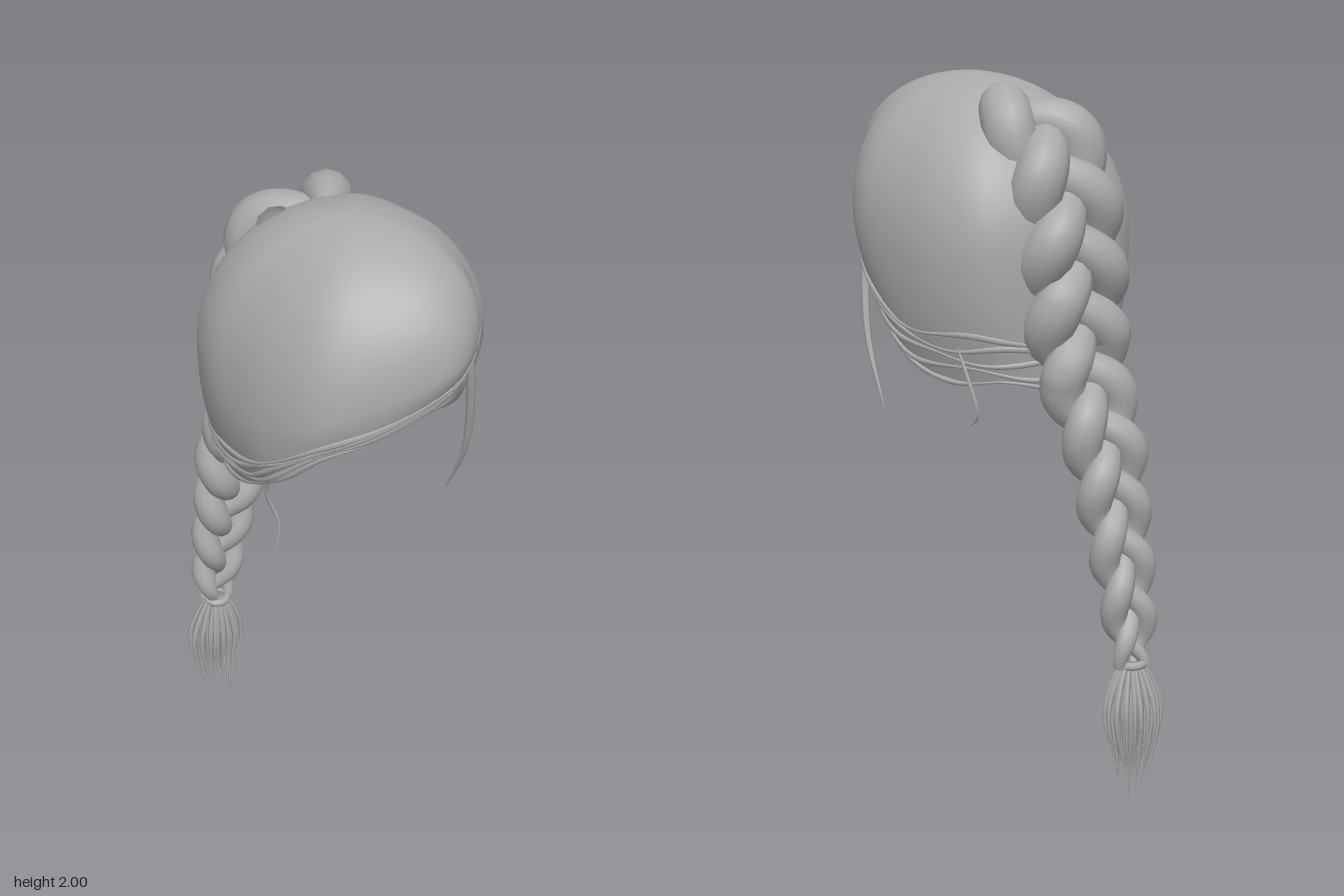
import * as THREE from 'three';
import { mergeVertices } from 'three/addons/utils/BufferGeometryUtils.js';

const V = (x, y, z) => new THREE.Vector3(x, y, z);
const lerp = THREE.MathUtils.lerp;

// Widest outline of the hair cap, from the front round by the left side
const widest = [
  [0, 1.69, .6], [.13, 1.74, .54], [.195, 1.78, .43], [.29, 1.65, .385],
  [.355, 1.6, .28], [.378, 1.55, .1], [.36, 1.55, -.07], [.29, 1.55, -.2],
  [.12, 1.55, -.28], [-.1, 1.55, -.28], [-.25, 1.55, -.2], [-.34, 1.55, -.05],
  [-.37, 1.5, .1], [-.375, 1.5, .25], [-.33, 1.55, .42], [-.2, 1.62, .53]];
// Lower edge at the same stations: fringe swept to the right, low nape
const hem = [
  [0, 1.6, .56], [.13, 1.64, .5], [.2, 1.69, .4], [.25, 1.48, .36],
  [.3, 1.33, .24], [.32, 1.22, .1], [.29, 1.18, -.06], [.22, 1.17, -.18],
  [.1, 1.16, -.26], [-.08, 1.16, -.26], [-.18, 1.17, -.19], [-.26, 1.2, -.05],
  [-.31, 1.24, .12], [-.35, 1.34, .28], [-.31, 1.44, .4], [-.2, 1.5, .5]];
const loop = pts => new THREE.CatmullRomCurve3(pts.map(p => V(...p)), true);
const widestCurve = loop(widest), hemCurve = loop(hem), crown = V(0, 2, .2);

// Point on the cap: u runs round the head, t from crown (0) over the widest line (.6) to the hem (1)
function capPoint(u, t) {
  const e = widestCurve.getPoint(u % 1), h = hemCurve.getPoint(u % 1);
  if (t < .6) {
    const a = t / .6 * Math.PI / 2, s = Math.sin(a);
    return V(lerp(crown.x, e.x, s), lerp(e.y, crown.y, Math.cos(a)), lerp(crown.z, e.z, s));
  }
  const s = (t - .6) / .4;
  return V(lerp(e.x, h.x, s * s), lerp(e.y, h.y, s), lerp(e.z, h.z, s * s));
}

function capGeometry(nu = 80, nt = 26) {
  const pos = [], idx = [];
  for (let i = 0; i <= nt; i++)
    for (let j = 0; j < nu; j++) pos.push(...capPoint(j / nu, i / nt).toArray());
  for (let i = 0; i < nt; i++)
    for (let j = 0; j < nu; j++) {
      const k = (j + 1) % nu, a = i * nu + j, b = a + nu, c = i * nu + k, d = c + nu;
      if (i > 0) idx.push(a, b, c);
      idx.push(c, b, d);
    }
  let g = new THREE.BufferGeometry();
  g.setAttribute('position', new THREE.Float32BufferAttribute(pos, 3));
  g.setIndex(idx);
  g = mergeVertices(g);
  g.computeVertexNormals();
  return g;
}

// Tube whose radius follows a rule of the position along it
function taperedTube(points, radius, segments, sides, closed = false) {
  const curve = new THREE.CatmullRomCurve3(points, closed);
  const g = new THREE.TubeGeometry(curve, segments, 1, sides, closed);
  const p = g.attributes.position, v = V(0, 0, 0);
  for (let i = 0; i <= segments; i++) {
    const c = curve.getPointAt(i / segments), r = radius(i / segments, c);
    for (let j = 0; j <= sides; j++) {
      const k = i * (sides + 1) + j;
      v.fromBufferAttribute(p, k).sub(c).multiplyScalar(r).add(c);
      p.setXYZ(k, v.x, v.y, v.z);
    }
  }
  return g;
}

let seed = 7;
const rand = () => (seed = (seed * 16807) % 2147483647) / 2147483647;

export function createModel() {
  const model = new THREE.Group();
  const hair = new THREE.MeshStandardMaterial({ color: 0xaaaaaa, side: THREE.DoubleSide });
  hair.name = 'greyHair';
  const add = (name, geometry, parent = model) => {
    const m = new THREE.Mesh(geometry, hair);
    m.name = name;
    parent.add(m);
    return m;
  };
  const group = name => {
    const g = new THREE.Group();
    g.name = name;
    model.add(g);
    return g;
  };

  add('hairCap', capGeometry());

  // Bundled locks along the hem
  const hemLocks = group('hemLocks');
  for (let k = 0; k < 5; k++) {
    const pts = [];
    for (let j = 0; j < 48; j++)
      pts.push(capPoint(j / 48, 1 - k * .035 + .012 * Math.sin(j * .8 + k * 2)));
    add('hemLock', taperedTube(pts, t => .007 + .003 * Math.sin(t * 40 + k), 110, 5, true), hemLocks);
  }

  // Short raised strands beside the parting
  const partingStrands = group('partingStrands');
  for (let k = 0; k < 8; k++) {
    const dir = k % 2 ? 1 : -1, pts = [];
    for (let j = 0; j <= 6; j++)
      pts.push(capPoint(.127 + dir * j * .013, .6 + k * .03 + j * .012));
    add('partingStrand', taperedTube(pts, t => .006 * Math.sin(Math.PI * t) + .0005, 14, 4), partingStrands);
  }

  // Three-strand braid from the crown down the back
  const braid = group('braid');
  const path = new THREE.CatmullRomCurve3([
    [1.905, .02], [1.87, -.1], [1.77, -.195], [1.6, -.25], [1.4, -.275], [1.22, -.31],
    [1.02, -.4], [.8, -.455], [.6, -.5], [.4, -.525]].map(([y, z]) => V(.03, y, z)));
  const width = s => s < .45 ? .175 : lerp(.16, .075, (s - .45) / .55);
  const smoothWidth = s => (width(Math.max(0, s - .06)) + width(s) + width(Math.min(1, s + .06))) / 3;
  for (let k = 0; k < 3; k++) {
    const pts = [];
    for (let i = 0; i <= 120; i++) {
      const s = i / 120, w = smoothWidth(s), T = path.getTangentAt(s);
      const phi = 2 * Math.PI * (3.3 * (.85 * s + .15 * s * s) + k / 3);
      const c = path.getPointAt(s);
      const depth = .2 * w * Math.sin(2 * phi);
      pts.push(V(c.x + .58 * w * Math.sin(phi), c.y - T.z * depth, c.z + T.y * depth));
    }
    const radius = (t, c) => {
      const w = smoothWidth(t), out = Math.min(1, Math.abs(c.x - .03) / (.58 * w));
      const ends = Math.min(1, .15 + t * 22, .45 + (1 - t) * 10);
      return w * (.34 + .1 * out) * ends;
    };
    add('braidStrand', taperedTube(pts, radius, 200, 12), braid);
  }

  // Tie at the end of the braid
  const tie = add('braidTie', new THREE.TorusGeometry(.032, .012, 8, 20));
  tie.rotation.x = Math.PI / 2 + .1;
  tie.position.set(.03, .4, -.52);

  // Loose tassel of tapering strands
  const tassel = group('tassel');
  for (let k = 0; k < 52; k++) {
    const a = k * 2.4, q = Math.sqrt((k + .5) / 52), tip = k === 0 ? 0 : .02 + .17 * rand();
    const at = (r, y, z) => V(.03 + Math.cos(a) * r * q * 1.3, y, z + Math.sin(a) * r * q);
    add('tasselStrand', taperedTube([
      at(.022, .41, -.522), at(.05, .35, -.525), at(.07, .27, -.53),
      at(.06, .18, -.53), at(.032 + .02 * rand(), tip, -.52)],
      t => .0005 + .0105 * Math.min(1, .5 + t * 2) * (1 - t ** 1.6), 14, 5), tassel);
  }

  // Loose wisps hanging from the hem
  const wisps = group('looseWisps');
  [['frontWisp', .013, [.2, 1.72, .42], [.235, 1.5, .4], [.28, 1.25, .34], [.31, 1.03, .22]],
    ['rightWisp', .007, [-.3, 1.36, .22], [-.285, 1.22, .15], [-.25, 1.1, .16], [-.265, .98, .15]],
    ['leftWisp', .006, [.315, 1.28, -.11], [.305, 1.18, -.15], [.29, 1.09, -.165], [.28, 1.04, -.1]],
  ].forEach(([name, r, ...pts]) => add(name,
    taperedTube(pts.map(p => V(...p)), t => r * Math.sin(Math.PI * (.12 + .87 * t)), 24, 6), wisps));

  return model;
}
